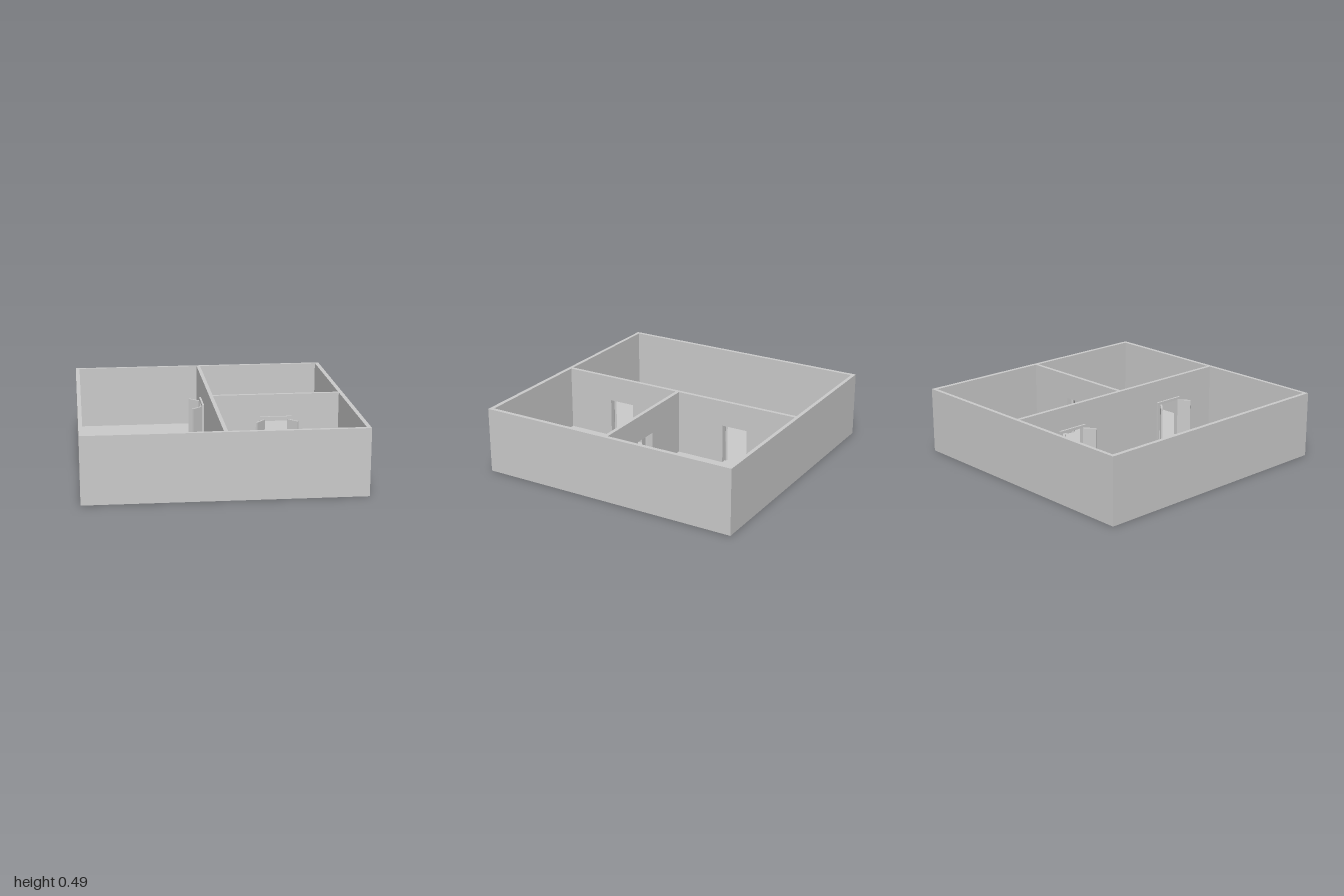
import * as THREE from 'three';

const H = 0.49;          // wall height
const FLOOR = 0.005;     // floor thickness
const DOOR_W = 0.2, DOOR_H = 0.3, FRAME = 0.02;
const mat = new THREE.MeshStandardMaterial({ color: 0xcccccc, flatShading: true });

function add(parent, geometry, name, x = 0, y = 0, z = 0) {
  const mesh = new THREE.Mesh(geometry, mat);
  mesh.name = name;
  mesh.position.set(x, y, z);
  parent.add(mesh);
  return mesh;
}

const points = (list) => list.map(([x, y]) => new THREE.Vector2(x, y));

// Extrudes a plan outline of [x, z] pairs upwards; outline and hole run counter-clockwise seen from above
function planExtrude(outline, hole, height) {
  const flip = ([x, z]) => [x, -z];
  const shape = new THREE.Shape(points(outline.map(flip)));
  if (hole) shape.holes.push(new THREE.Path(points(hole.map(flip))));
  return new THREE.ExtrudeGeometry(shape, { depth: height, bevelEnabled: false }).rotateX(-Math.PI / 2);
}

// Frame and two open leaves; wall runs along x, doors open towards +z
function doubleDoor(face) {
  const door = new THREE.Group();
  door.name = 'doubleDoor';
  const depth = 0.015, w = DOOR_W / 2, top = DOOR_H + FRAME;
  const frame = new THREE.Shape(points([
    [-w - FRAME, FLOOR], [-w, FLOOR], [-w, DOOR_H], [w, DOOR_H],
    [w, FLOOR], [w + FRAME, FLOOR], [w + FRAME, top], [-w - FRAME, top],
  ]));
  add(door, new THREE.ExtrudeGeometry(frame, { depth, bevelEnabled: false }), 'doorFrame', 0, 0, face);
  for (const side of [-1, 1]) {
    const leafGeo = new THREE.BoxGeometry(0.1, DOOR_H - FLOOR, 0.015);
    leafGeo.translate(side * 0.05, (DOOR_H + FLOOR) / 2, 0);
    const leaf = add(door, leafGeo, side < 0 ? 'rightLeaf' : 'leftLeaf', side * 0.09, 0, face + depth + 0.002);
    leaf.rotation.y = -side * 0.84;
  }
  return door;
}

// Partition along local x from a to b with door openings at the given centres
function partition(name, a, b, z0, z1, doors) {
  const group = new THREE.Group();
  group.name = name;
  const outline = [[a, 0]];
  for (const c of doors) {
    const l = c - DOOR_W / 2, r = c + DOOR_W / 2;
    outline.push([l, 0], [l, DOOR_H], [r, DOOR_H], [r, 0]);
  }
  outline.push([b, 0], [b, H], [a, H]);
  const geo = new THREE.ExtrudeGeometry(new THREE.Shape(points(outline)), { depth: z1 - z0, bevelEnabled: false });
  add(group, geo, 'partitionWall', 0, 0, z0);
  for (const c of doors) {
    const door = doubleDoor(z1);
    door.position.x = c;
    group.add(door);
  }
  return group;
}

export function createModel() {
  const model = new THREE.Group();
  model.name = 'roomPlan';

  // Floor slab and outer walls, slightly out of square at the front
  const outer = [[-1, -0.998], [-0.994, 0.983], [0.998, 0.998], [1, -0.998]];
  const inner = [[-0.97, -0.971], [-0.966, 0.957], [0.968, 0.966], [0.968, -0.971]];
  add(model, planExtrude(inner, null, FLOOR), 'floor');
  add(model, planExtrude(outer, inner, H), 'outerWalls');

  // Long partition, its doors opening into the large room at -x
  const long = partition('longPartition', -0.971, 0.961, -0.013, 0.015, [-0.49, 0.493]);
  long.rotation.y = -Math.PI / 2;
  model.add(long);

  // Short partition between the two small rooms
  model.add(partition('shortPartition', 0.013, 0.968, -0.015, 0.013, [0.488]));

  return model;
}
